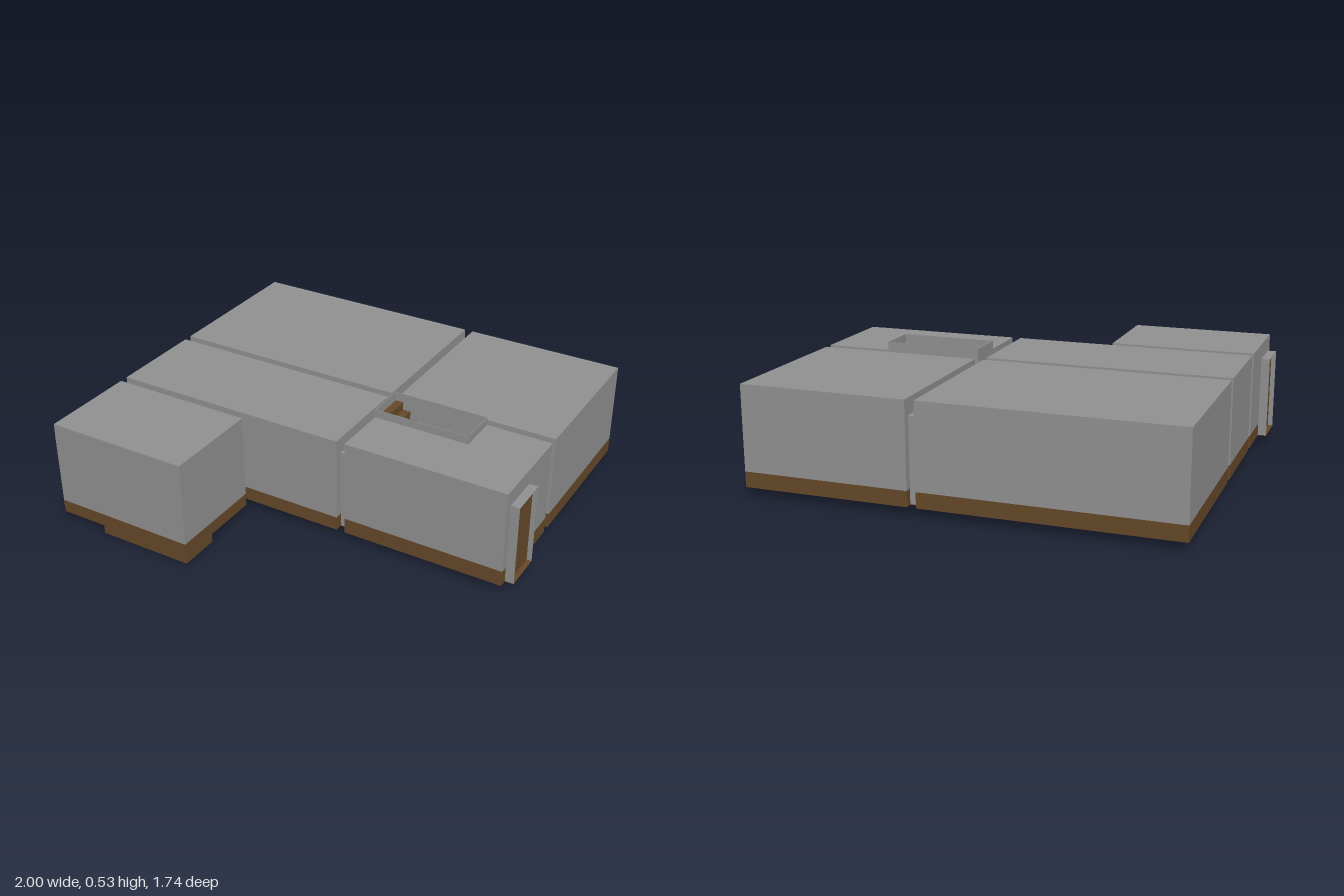
import * as THREE from 'three';

const wallGray = new THREE.MeshStandardMaterial({ color: 0x909090 });
wallGray.name = 'wall gray';
const woodBrown = new THREE.MeshStandardMaterial({ color: 0x65482a });
woodBrown.name = 'wood brown';

const T = 0.003; // shell thickness
const FLOOR = 0.04, ROOF = 0.494, DOOR_TOP = 0.42;

// Rectangles are [x0, x1, z0, z1]
const inset = ([x0, x1, z0, z1], t) => [x0 + t, x1 - t, z0 + t, z1 - t];

function trace(path, [x0, x1, z0, z1]) {
  path.moveTo(x0, -z0);
  path.lineTo(x0, -z1);
  path.lineTo(x1, -z1);
  path.lineTo(x1, -z0);
  path.closePath();
  return path;
}

// Horizontal plate from y0 to y1, with an optional rectangular opening
function slab(name, mat, rect, y0, y1, hole) {
  const shape = trace(new THREE.Shape(), rect);
  if (hole) shape.holes.push(trace(new THREE.Path(), hole));
  const geo = new THREE.ExtrudeGeometry(shape, { depth: y1 - y0, bevelEnabled: false });
  geo.rotateX(-Math.PI / 2).translate(0, y0, 0);
  const mesh = new THREE.Mesh(geo, mat);
  mesh.name = name;
  return mesh;
}

const ring = (name, mat, rect, y0, y1) => slab(name, mat, rect, y0, y1, inset(rect, T));

// Hollow room: floor, brown wall base, gray walls and roof
function room({ name, rect, band, roofHole, floorHole }) {
  const g = new THREE.Group();
  g.name = name;
  g.add(
    slab('floor', woodBrown, rect, FLOOR, FLOOR + T, floorHole),
    ring('wallBase', woodBrown, rect, FLOOR + T, band),
    ring('walls', wallGray, rect, band, ROOF - T),
    slab('roof', wallGray, rect, ROOF - T, ROOF, roofHole)
  );
  return g;
}

// Closed passage between two rooms
function passage(rect) {
  const g = new THREE.Group();
  g.name = 'passage';
  g.add(
    slab('passageFloor', woodBrown, rect, FLOOR, FLOOR + T),
    slab('passageWalls', wallGray, rect, FLOOR + T, DOOR_TOP)
  );
  return g;
}

// Outer doorway: a shallow open frame with a door set inside; side is +1 or -1
function doorway(side, z0, z1) {
  const g = new THREE.Group();
  g.name = 'doorway';
  const span = (a, b) => (side > 0 ? [a, b] : [-b, -a]);
  const [x0, x1] = span(0.96, 1);
  g.add(
    slab('doorSill', woodBrown, [x0, x1, z0, z1], FLOOR, FLOOR + T),
    slab('doorLintel', wallGray, [x0, x1, z0, z1], DOOR_TOP - T, DOOR_TOP),
    slab('doorPanel', woodBrown, [...span(0.972, 0.978), z0 + T, z1 - T], FLOOR + T, DOOR_TOP - T)
  );
  for (const z of [z0, z1 - T])
    g.add(slab('doorJamb', wallGray, [x0, x1, z, z + T], FLOOR + T, DOOR_TOP - T));
  return g;
}

export function createModel() {
  const model = new THREE.Group();
  model.name = 'building';

  const stairUp = [0.207, 0.657, -0.078, 0.11];
  const stairDown = [-0.737, -0.287, 0.68, 0.868];

  // Rooms
  const rooms = [
    { name: 'backRightRoom', rect: [-0.96, 0.167, -0.868, -0.117], band: 0.11 },
    { name: 'backLeftRoom', rect: [0.207, 0.96, -0.868, -0.117], band: 0.11 },
    { name: 'middleRightRoom', rect: [-0.96, 0.167, -0.078, 0.373], band: 0.105 },
    { name: 'middleLeftRoom', rect: [0.207, 0.96, -0.078, 0.373], band: 0.113, roofHole: inset(stairUp, T) },
    { name: 'frontRightRoom', rect: [-0.96, -0.287, 0.413, 0.868], band: 0.1, floorHole: inset(stairDown, T) },
  ];
  for (const r of rooms) model.add(room(r));

  // Passages bridging the gaps
  for (const rect of [
    [0.167, 0.207, -0.835, -0.648],
    [0.167, 0.207, 0.15, 0.337],
    [-0.21, -0.02, -0.117, -0.078],
    [0.733, 0.92, -0.117, -0.078],
    [-0.925, -0.737, 0.373, 0.413],
  ]) model.add(passage(rect));

  // Outer doors
  model.add(doorway(1, 0.15, 0.337), doorway(-1, 0.64, 0.83));

  // Raised rim of the roof opening and sunken rim of the floor opening
  model.add(ring('roofHatchRim', wallGray, stairUp, ROOF, 0.532));
  model.add(ring('floorHatchRim', woodBrown, stairDown, 0, FLOOR));

  // Stairs climbing toward the roof opening
  const stairs = new THREE.Group();
  stairs.name = 'stairs';
  const [sx0, sx1, sz0, sz1] = inset(stairUp, T);
  const n = 12, run = (sx1 - sx0) / n, rise = 0.0375;
  for (let i = 0; i < n; i++) {
    const x = sx0 + i * run;
    stairs.add(slab('step', woodBrown, [x, x + run, sz0, sz1], FLOOR + T, FLOOR + (n - i) * rise));
  }
  model.add(stairs);

  return model;
}
